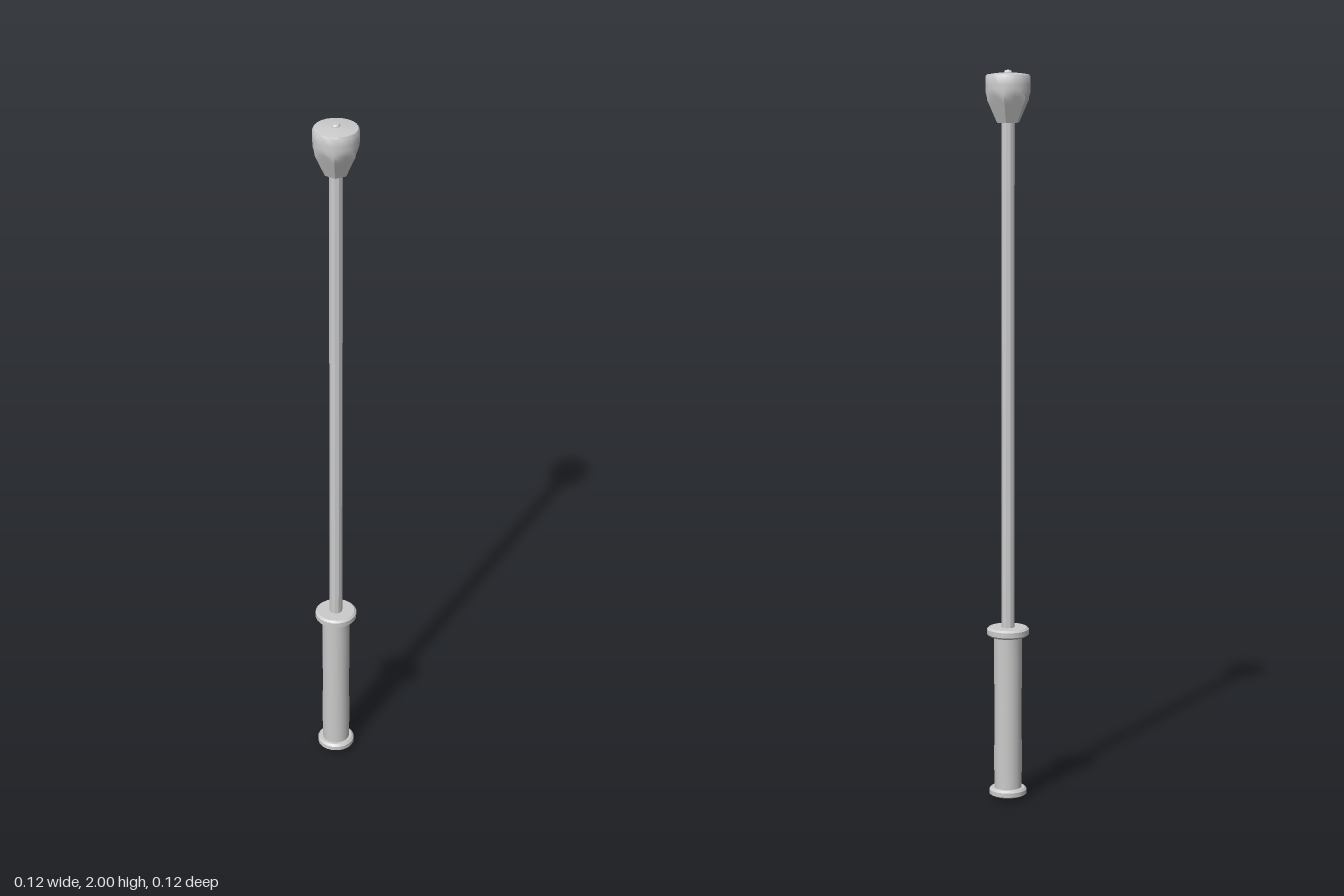
import * as THREE from 'three';
import { toCreasedNormals } from 'three/addons/utils/BufferGeometryUtils.js';

const grey = new THREE.MeshStandardMaterial({ color: 0xcccccc });

// Turned part from [radius, height] points, listed bottom to top
function turned(name, points, sides, shape) {
  const geo = new THREE.LatheGeometry(points.map(([r, y]) => new THREE.Vector2(r, y)), sides);
  if (shape) shape(geo.attributes.position);
  const mesh = new THREE.Mesh(toCreasedNormals(geo, 0.6), grey);
  mesh.name = name;
  return mesh;
}

// Cut six flat tapering faces into the lower part of the head
function cutFacets(pos) {
  const step = Math.PI / 3;
  for (let i = 0; i < pos.count; i++) {
    const x = pos.getX(i), y = pos.getY(i), z = pos.getZ(i);
    const r = Math.hypot(x, z);
    if (r < 1e-5) continue;
    const a = Math.atan2(x, z);
    const off = a - Math.round(a / step) * step;
    const apothem = 0.027 + (y - 1.86) * 0.4;
    const k = Math.min(r, apothem / Math.cos(off)) / r;
    pos.setXYZ(i, x * k, y, z * k);
  }
}

export function createModel() {
  const group = new THREE.Group();

  // Handle
  group.add(turned('gripEndKnob', [[0, 0], [0.008, 0.002], [0.011, 0.007], [0.011, 0.014]], 12));
  group.add(turned('gripEndCap',
    [[0, 0.008], [0.045, 0.01], [0.052, 0.014], [0.052, 0.026], [0.046, 0.032], [0.03, 0.032]], 20));
  group.add(turned('grip', [[0.038, 0.028], [0.039, 0.1], [0.038, 0.25], [0.039, 0.4], [0.039, 0.462]], 18));
  group.add(turned('guard',
    [[0.03, 0.46], [0.05, 0.46], [0.058, 0.466], [0.058, 0.48], [0.052, 0.485], [0, 0.485]], 20));

  // Long rod
  group.add(turned('shaft', [[0.018, 0.48], [0.018, 1.87]], 10));

  // Faceted head with a shallow domed top
  const head = [[0, 1.86]];
  for (let i = 0; i <= 10; i++) head.push([0.06, 1.86 + i * 0.01]);
  head.push([0.06, 1.982], [0.057, 1.987], [0.03, 1.991], [0, 1.993]);
  group.add(turned('head', head, 24, cutFacets));
  group.add(turned('headKnob', [[0.011, 1.988], [0.011, 1.994], [0.008, 1.998], [0, 2]], 12));

  return group;
}
